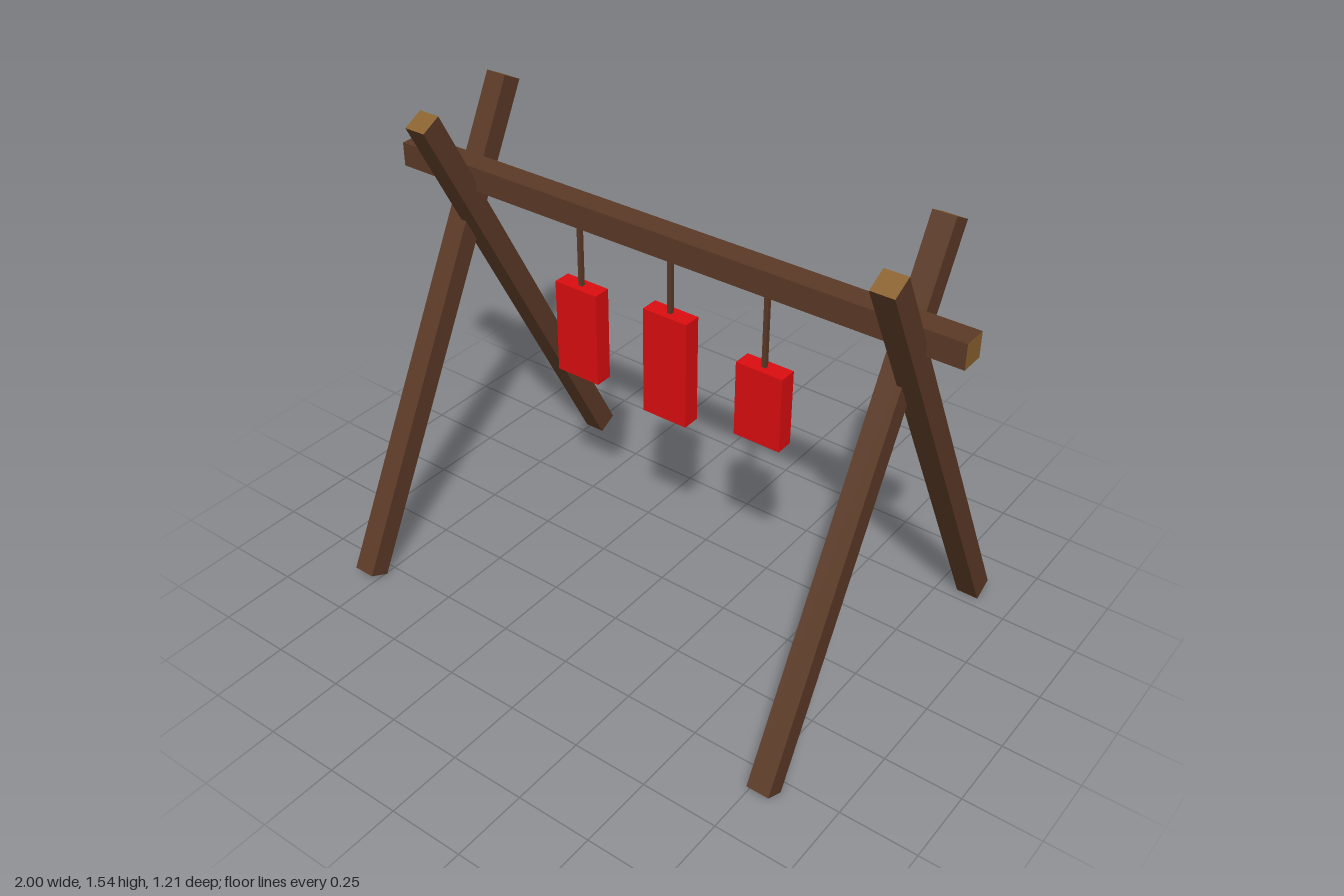
import * as THREE from 'three';

export function createModel() {
  const model = new THREE.Group();
  const mat = (name, color) => {
    const m = new THREE.MeshStandardMaterial({ color });
    m.name = name;
    return m;
  };
  const wood = mat('dark wood', 0x5c3a27);
  const endGrain = mat('end grain', 0x8a622f);
  const red = mat('red', 0xdc0d10);

  const box = (name, w, h, d, x, y, z, material, parent = model) => {
    const mesh = new THREE.Mesh(new THREE.BoxGeometry(w, h, d), material);
    mesh.name = name;
    mesh.position.set(x, y, z);
    parent.add(mesh);
    return mesh;
  };

  // Box face order: +x, -x, +y, -y, +z, -z
  const endsX = [endGrain, endGrain, wood, wood, wood, wood];
  const endsY = [wood, wood, endGrain, endGrain, wood, wood];

  // Crossbeam
  box('crossbeam', 2, 0.08, 0.08, 0, 1.276, 0, endsX);

  // Crossed legs: one leans back, its neighbour leans forward
  const footZ = 0.572, topZ = -0.209, footY = 0.017, topY = 1.518;
  const length = Math.hypot(footZ - topZ, topY - footY);
  const tilt = Math.atan2(footZ - topZ, topY - footY);
  const legFrame = (name, xFront, xBack) => {
    const frame = new THREE.Group();
    frame.name = name;
    for (const [part, x, s] of [['frontLeg', xFront, 1], ['backLeg', xBack, -1]]) {
      const leg = box(part, 0.074, length, 0.074,
        x, (footY + topY) / 2, s * (footZ + topZ) / 2, endsY, frame);
      leg.rotation.x = -s * tilt;
    }
    model.add(frame);
  };
  legFrame('rightLegFrame', -0.782, -0.728);
  legFrame('leftLegFrame', 0.792, 0.851);

  // Hanging panels with their cords: x, bottom, top
  const panels = [[-0.31, 0.695, 1.016], [0.031, 0.675, 1.04], [0.369, 0.73, 0.982]];
  for (const [x, bottom, top] of panels) {
    const hanging = new THREE.Group();
    hanging.name = 'hangingPanel';
    box('panel', 0.16, top - bottom, 0.06, x, (top + bottom) / 2, 0, red, hanging);
    box('cord', 0.014, 1.24 - top, 0.014, x, (1.24 + top) / 2, 0, wood, hanging);
    model.add(hanging);
  }
  return model;
}
